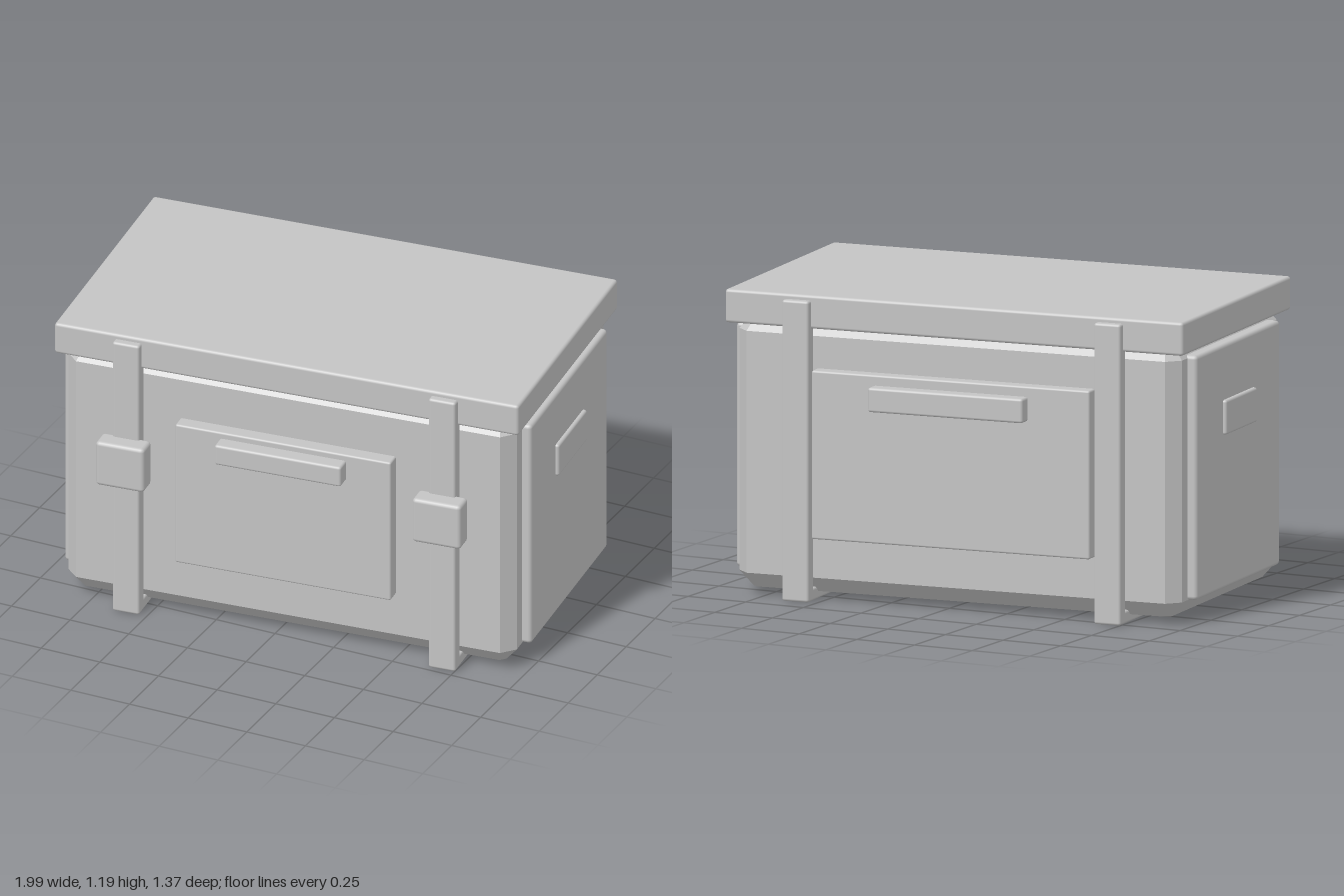
import * as THREE from 'three';
import { RoundedBoxGeometry } from 'three/addons/geometries/RoundedBoxGeometry.js';

export function createModel() {
  const model = new THREE.Group();
  model.name = 'storageCrate';
  const crate = new THREE.Group();
  crate.name = 'crate';
  const grey = new THREE.MeshStandardMaterial({ color: 0xc4c4c4 });
  grey.name = 'plain grey';

  // Softly bevelled box given by its lower and upper limits
  function block(name, [x0, x1], [y0, y1], [z0, z1], radius = 0.01) {
    const geometry = new RoundedBoxGeometry(x1 - x0, y1 - y0, z1 - z0, 2, radius);
    const mesh = new THREE.Mesh(geometry, grey);
    mesh.position.set((x0 + x1) / 2, (y0 + y1) / 2, (z0 + z1) / 2);
    mesh.name = name;
    crate.add(mesh);
    return mesh;
  }

  // Body: chamfered corners, bevelled along the bottom and under the lid
  const w = 0.915, d = 0.523, c = 0.05;
  const outline = new THREE.Shape([
    [-w + c, -d], [w - c, -d], [w, -d + c], [w, d - c],
    [w - c, d], [-w + c, d], [-w, d - c], [-w, -d + c],
  ].map(([x, y]) => new THREE.Vector2(x, y)));
  const bodyGeometry = new THREE.ExtrudeGeometry(outline, {
    depth: 0.94, bevelThickness: 0.06, bevelSize: 0.05, bevelOffset: -0.05, bevelSegments: 1,
  });
  bodyGeometry.rotateX(-Math.PI / 2).translate(0, 0.09, 0);
  const body = new THREE.Mesh(bodyGeometry, grey);
  body.name = 'body';
  crate.add(body);

  // Lid
  block('lid', [-0.947, 0.947], [1.06, 1.19], [-0.543, 0.543], 0.012);

  for (const side of [-1, 1]) {
    const label = side > 0 ? 'left' : 'right';
    const span = (a, b) => (side > 0 ? [a, b] : [-b, -a]);

    // End panel and its grip
    block(label + 'EndPanel', span(0.89, 0.953), [0.09, 1.04], [-0.417, 0.417], 0.015);
    block(label + 'EndGrip', span(0.92, 0.968), [0.69, 0.825], [-0.155, 0.155]);

    // Strap running down the front, under the body and up the back
    const strap = span(0.59, 0.7);
    block(label + 'StrapFront', strap, [0, 1.17], [0.515, 0.572]);
    block(label + 'StrapBack', strap, [0, 1.17], [-0.572, -0.515]);
    block(label + 'StrapBottom', strap, [0, 0.05], [-0.572, 0.572]);

    // Buckle on the front of the strap
    block(label + 'Buckle', span(0.547, 0.745), [0.572, 0.76], [0.55, 0.637], 0.015);
  }

  // Front and back panels with their handles
  block('frontPanel', [-0.44, 0.44], [0.265, 0.865], [0.51, 0.58], 0.008);
  block('frontHandle', [-0.258, 0.258], [0.755, 0.84], [0.56, 0.64]);
  block('backPanel', [-0.575, 0.575], [0.25, 0.905], [-0.578, -0.51], 0.008);
  block('backHandle', [-0.32, 0.32], [0.77, 0.865], [-0.633, -0.56]);

  // The crate stands slightly turned
  crate.rotation.y = 0.1005;
  crate.position.z = -0.027;
  model.add(crate);
  return model;
}
